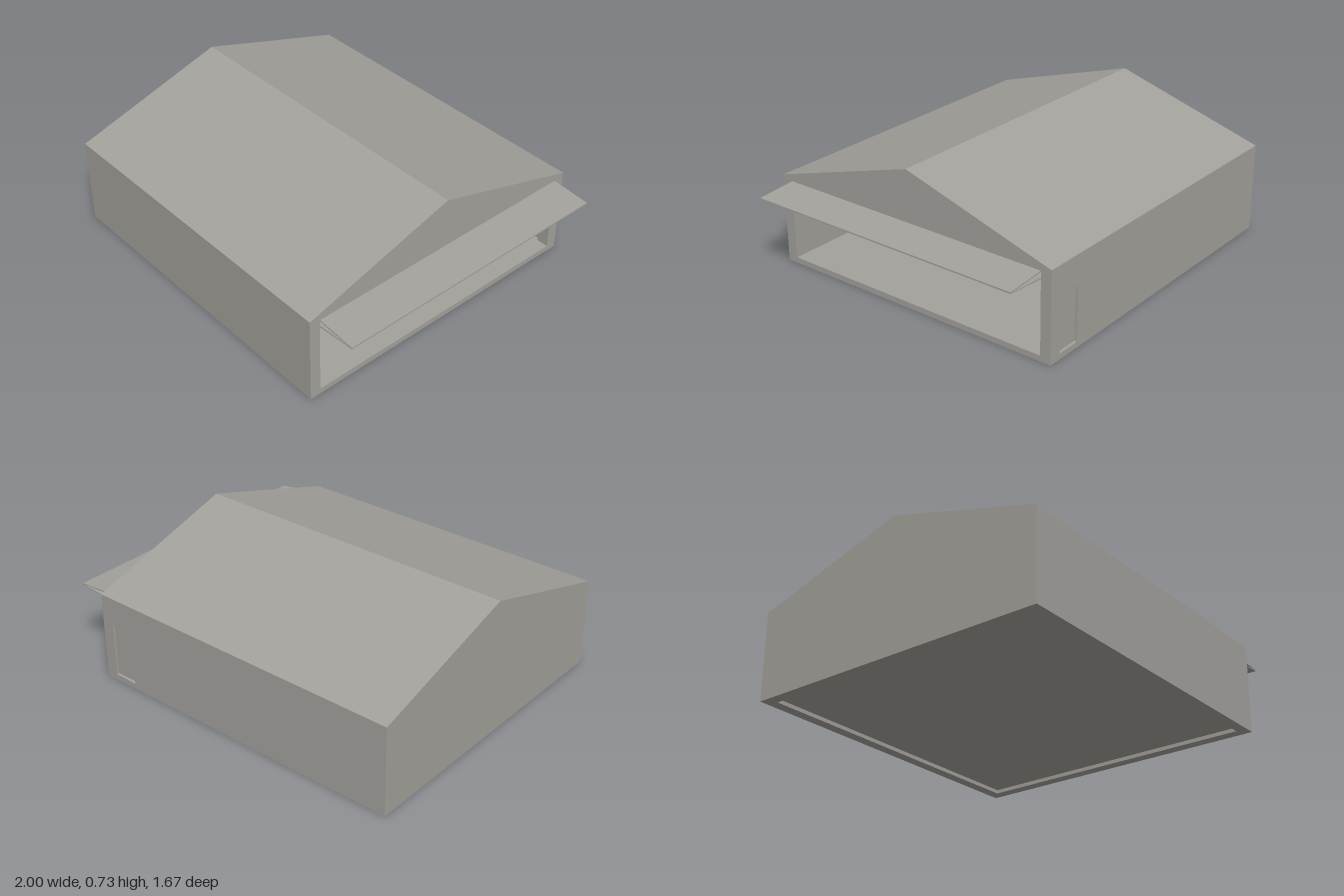
import * as THREE from 'three';

const X0 = -1, X1 = 0.79;            // end walls
const W = 0.833, T = 0.058;          // half width, wall thickness
const IN = W - T;                    // half width of the interior
const EAVE = 0.475, RIDGE = 0.725, CEIL = 0.455, DROP = 0.035;

export function createModel() {
  const model = new THREE.Group();
  const grey = new THREE.MeshStandardMaterial({ color: 0xa3a19b });
  grey.name = 'warmGrey';

  const add = (name, geo, x = 0, y = 0, z = 0) => {
    const mesh = new THREE.Mesh(geo, grey);
    mesh.name = name;
    mesh.position.set(x, y, z);
    model.add(mesh);
    return mesh;
  };
  const shapeOf = (pts) => new THREE.Shape(pts.map(([a, b]) => new THREE.Vector2(a, b)));
  const rect = (x0, y0, x1, y1) => [[x0, y0], [x1, y0], [x1, y1], [x0, y1]];
  const extrude = (shape, depth) => new THREE.ExtrudeGeometry(shape, { depth, bevelEnabled: false });
  // Cross-section in z and y, extruded along x
  const alongX = (name, shape, x0, x1) =>
    add(name, extrude(shape, x1 - x0).rotateY(Math.PI / 2), x0);

  const gable = [[-W, 0], [W, 0], [W, EAVE], [0, RIDGE], [-W, EAVE]];
  const innerX0 = X0 + T, innerX1 = X1 - T;

  // End walls: one closed, one with the wide doorway
  alongX('closedEndWall', shapeOf(gable), X0, innerX0);
  const openEnd = shapeOf(gable);
  openEnd.holes.push(shapeOf(rect(-IN, 0.015, IN, CEIL)));
  alongX('doorwayEndWall', openEnd, innerX1, X1);

  // Pitched roof, hollow underneath
  alongX('roof', shapeOf([
    [-W, CEIL], [-IN, CEIL], [0, RIDGE - DROP], [IN, CEIL],
    [W, CEIL], [W, EAVE], [0, RIDGE], [-W, EAVE],
  ]), innerX0, innerX1);

  // Side walls, the back one with a small side door
  add('frontWall', extrude(shapeOf(rect(innerX0, 0, innerX1, CEIL)), T), 0, 0, IN);
  const back = shapeOf(rect(innerX0, 0, innerX1, CEIL));
  back.holes.push(shapeOf(rect(0.59, 0.03, 0.725, 0.32)));
  add('backWall', extrude(back, T), 0, 0, -W);
  add('sideDoor', new THREE.BoxGeometry(0.135, 0.29, T - 0.03), 0.6575, 0.175, -W + T / 2);

  // Floor slab, raised a little above the wall bases
  add('floor', new THREE.BoxGeometry(innerX1 - innerX0, 0.01, IN * 2), (innerX0 + innerX1) / 2, 0.025, 0);
  add('doorSill', new THREE.BoxGeometry(T, 0.015, IN * 2), X1 - T / 2, 0.0225, 0);

  // Folding door, raised: two thin leaves meeting at the outer hinge
  const leaf = (name, pts) => add(name, extrude(shapeOf(pts), IN * 2 - 0.004), 0, 0, -IN + 0.002);
  leaf('upperDoorLeaf', [[X1 - 0.005, 0.447], [1, 0.432], [1, 0.438], [X1 - 0.005, 0.454]]);
  leaf('lowerDoorLeaf', [[X1 - 0.005, 0.411], [1, 0.43], [1, 0.434], [X1 - 0.005, 0.418]]);

  return model;
}
